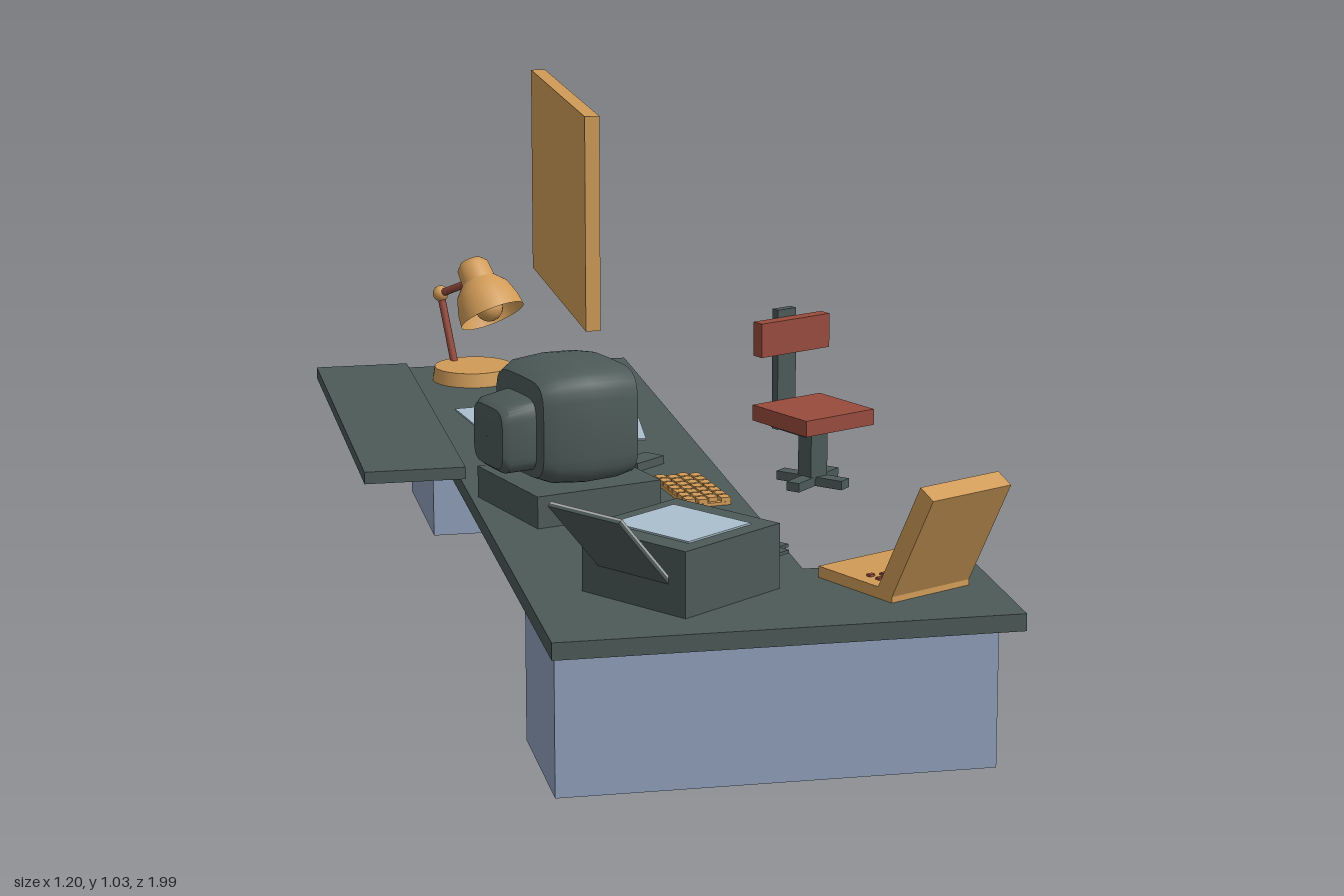
import * as THREE from 'three';
import { toCreasedNormals } from 'three/addons/utils/BufferGeometryUtils.js';

const mat = (name, color) => {
  const m = new THREE.MeshStandardMaterial({ color });
  m.name = name;
  return m;
};
const DEG = Math.PI / 180;

export function createModel() {
  const slate = mat('slate', 0x4c5a58), blue = mat('blue', 0x8f9fbb), wood = mat('wood', 0xd09b58);
  const red = mat('red', 0x984b3d), cork = mat('cork', 0xc8725a), paper = mat('paper', 0xa9c0cd);
  const gray = mat('gray', 0xb4b4b4), teal = mat('teal', 0x4a7272);
  wood.side = THREE.DoubleSide; // lampshade is an open shell
  const root = new THREE.Group();
  root.name = 'office desk';

  const group = (name, x, y, z, turn = 0) => {
    const g = new THREE.Group();
    g.name = name;
    g.position.set(x, y, z);
    g.rotation.y = turn * DEG;
    root.add(g);
    return g;
  };
  const add = (parent, name, geo, m, x = 0, y = 0, z = 0) => {
    const mesh = new THREE.Mesh(geo, m);
    mesh.name = name;
    mesh.position.set(x, y, z);
    parent.add(mesh);
    return mesh;
  };
  // box centred at x, y, z
  const box = (parent, name, m, w, h, d, x, y, z) =>
    add(parent, name, new THREE.BoxGeometry(w, h, d), m, x, y, z);
  // box given by its limits on each axis
  const span = (parent, name, m, x0, x1, y0, y1, z0, z1) =>
    box(parent, name, m, x1 - x0, y1 - y0, z1 - z0, (x0 + x1) / 2, (y0 + y1) / 2, (z0 + z1) / 2);
  // round rod between two points
  const rod = (parent, name, m, a, b, r) => {
    const d = b.clone().sub(a);
    const mesh = add(parent, name, new THREE.CylinderGeometry(r, r, d.length(), 8), m);
    mesh.position.copy(a).addScaledVector(d, 0.5);
    mesh.quaternion.setFromUnitVectors(new THREE.Vector3(0, 1, 0), d.normalize());
    return mesh;
  };
  // loft of rounded-square rings [x, halfDepth, halfHeight, centreY]
  const loft = (rings, n = 32) => {
    const pos = [], idx = [];
    const soft = (v) => Math.sign(v) * Math.abs(v) ** 0.42;
    rings.forEach(([x, hz, hy, cy], i) => {
      for (let j = 0; j < n; j++) {
        const a = (j / n) * Math.PI * 2, k = (j + 1) % n;
        pos.push(x, cy + hy * soft(Math.sin(a)), hz * soft(Math.cos(a)));
        if (i < rings.length - 1) {
          const p = i * n + j, q = i * n + k;
          idx.push(p, p + n, q, q, p + n, q + n);
        }
      }
    });
    const g = new THREE.BufferGeometry();
    g.setAttribute('position', new THREE.Float32BufferAttribute(pos, 3));
    g.setIndex(idx);
    return toCreasedNormals(g, 35 * DEG);
  };

  // L-shaped desk top
  const desk = group('desk', 0, 0, 0);
  const outline = new THREE.Shape([[-0.415, -0.99], [0.077, -0.99], [0.077, 0.665], [0.377, 0.665],
    [0.377, 0.993], [-0.415, 0.993]].map(([x, z]) => new THREE.Vector2(x, -z)));
  const top = add(desk, 'deskTop', new THREE.ExtrudeGeometry(outline, { depth: 0.03, bevelEnabled: false }), slate, 0, 0.246, 0);
  top.rotation.x = -Math.PI / 2;
  span(desk, 'sideShelf', slate, -0.605, -0.416, 0.297, 0.32, -0.84, 0.035);
  span(desk, 'frontCabinet', blue, -0.41, 0.332, 0.01, 0.247, 0.692, 0.985);
  span(desk, 'drawerCabinet', blue, -0.395, 0.06, 0.01, 0.247, -0.957, -0.6);
  for (const y of [0.082, 0.187]) {
    box(desk, 'drawer', teal, 0.014, 0.087, 0.275, 0.063, y, -0.783);
    box(desk, 'drawerHandle', teal, 0.022, 0.022, 0.055, 0.08, y + 0.016, -0.78);
  }

  // pinboard facing +x
  const board = group('pinboard', 0, 0, 0);
  span(board, 'boardBack', wood, -0.258, -0.243, 0.658, 1.035, -0.14, 0.435);
  span(board, 'corkSheet', cork, -0.243, -0.238, 0.68, 1.012, -0.117, 0.412);
  for (const [y0, y1] of [[0.658, 0.682], [1.011, 1.035]]) span(board, 'frameRail', wood, -0.245, -0.232, y0, y1, -0.14, 0.435);
  for (const [z0, z1] of [[-0.14, -0.115], [0.41, 0.435]]) span(board, 'frameStile', wood, -0.245, -0.232, 0.682, 1.011, z0, z1);
  [[0.343, 0.936, 0.09, 0.107, -6], [0.209, 0.845, 0.115, 0.137, 13], [-0.03, 0.904, 0.1, 0.137, -20],
    [0.054, 0.775, 0.107, 0.134, 2], [0.332, 0.757, 0.08, 0.086, -4]].forEach(([z, y, w, h, a], i) => {
    box(board, 'pinnedNote', paper, 0.003, h, w, -0.2365 + i * 0.0005, y, z).rotation.x = a * DEG;
  });

  // computer monitor on its base unit
  const computer = group('computer', -0.245, 0, 0.17, 17);
  box(computer, 'baseUnit', slate, 0.25, 0.06, 0.25, 0, 0.305, 0);
  add(computer, 'monitorShell', loft([[-0.165, 0.001, 0.001, 0.425], [-0.162, 0.06, 0.055, 0.425], [-0.15, 0.068, 0.064, 0.425],
    [-0.1, 0.072, 0.068, 0.43], [-0.098, 0.098, 0.09, 0.44], [-0.07, 0.113, 0.103, 0.442], [-0.01, 0.12, 0.108, 0.442],
    [0.05, 0.12, 0.106, 0.442], [0.085, 0.112, 0.1, 0.442], [0.085, 0.001, 0.001, 0.442]]), slate);
  add(computer, 'screen', loft([[0.083, 0.104, 0.092, 0.442], [0.086, 0.104, 0.092, 0.442], [0.091, 0.07, 0.06, 0.442],
    [0.093, 0.001, 0.001, 0.442]]), blue);

  // keyboard and mouse
  const keyboard = group('keyboard', -0.008, 0.276, 0.142, 7);
  box(keyboard, 'keyboardPlate', wood, 0.085, 0.006, 0.195, 0, 0.003, 0);
  for (let c = 0; c < 4; c++) for (let r = 0; r < 7; r++) {
    box(keyboard, 'key', wood, 0.018, 0.008, 0.023, -0.033 + c * 0.022, 0.01, -0.082 + r * 0.0272 + (c % 2 ? 0.004 : -0.004));
  }
  const mouse = group('mouse', -0.062, 0.276, -0.073, 40);
  box(mouse, 'mouseBody', slate, 0.08, 0.016, 0.045, 0, 0.008, 0);

  // loose sheets and stapler
  for (const [x, y, z, w, d, a] of [[-0.195, 0.278, -0.51, 0.285, 0.195, 8], [-0.148, 0.281, -0.353, 0.28, 0.165, -6]]) {
    box(group('looseSheet', x, y, z, a), 'sheet', paper, w, 0.003, d, 0, 0, 0);
  }
  const stapler = group('stapler', -0.18, 0.276, -0.67, 58);
  box(stapler, 'staplerBase', slate, 0.14, 0.012, 0.055, 0, 0.006, 0);
  box(stapler, 'staplerArm', slate, 0.135, 0.018, 0.05, 0, 0.033, 0).rotation.z = 9 * DEG;

  // desk lamp
  const lamp = group('lamp', 0, 0, 0);
  const v = (x, y, z) => new THREE.Vector3(x, y, z);
  const joint = v(-0.328, 0.445, -0.945), rim = v(-0.24, 0.425, -0.79);
  const axis = v(-0.29, 0.84, -0.46).normalize(); // from the rim towards the cap
  add(lamp, 'lampBase', new THREE.CylinderGeometry(0.082, 0.087, 0.03, 24), wood, -0.272, 0.29, -0.86);
  rod(lamp, 'lowerArm', red, v(-0.305, 0.3, -0.915), joint, 0.008);
  rod(lamp, 'upperArm', red, joint, rim.clone().addScaledVector(axis, 0.085), 0.008);
  add(lamp, 'elbow', new THREE.SphereGeometry(0.017, 12, 8), wood).position.copy(joint);
  const profile = [[0.07, 0], [0.067, 0.025], [0.056, 0.06], [0.038, 0.08], [0.036, 0.082], [0.034, 0.115], [0.022, 0.128], [0, 0.13]];
  const shade = add(lamp, 'lampShade', new THREE.LatheGeometry(profile.map(([x, y]) => new THREE.Vector2(x, y)), 24), wood);
  shade.position.copy(rim);
  shade.quaternion.setFromUnitVectors(v(0, 1, 0), axis);
  add(lamp, 'bulb', new THREE.SphereGeometry(0.03, 12, 8), wood).position.copy(rim).addScaledVector(axis, 0.02);

  // printer with a sloped paper feed
  const printer = group('printer', -0.153, 0.276, 0.745, 36);
  box(printer, 'printerBody', slate, 0.235, 0.114, 0.235, 0, 0.057, 0);
  box(printer, 'printerGlass', paper, 0.155, 0.004, 0.175, 0, 0.115, 0);
  box(printer, 'outputTray', slate, 0.09, 0.006, 0.13, 0.158, 0.036, 0);
  box(printer, 'outputTrayLip', slate, 0.03, 0.006, 0.08, 0.215, 0.036, 0);
  const feed = new THREE.Group();
  feed.name = 'paperFeed';
  feed.position.set(-0.17, 0.118, 0);
  feed.rotation.z = -47 * DEG;
  printer.add(feed);
  box(feed, 'feedTray', slate, 0.178, 0.006, 0.16, 0, -0.004, 0);
  box(feed, 'feedPaper', gray, 0.178, 0.004, 0.16, 0, 0.001, 0);
  [[wood, -0.022, 0.042], [paper, 0.022, 0.042], [red, -0.022, 0.068], [wood, 0.022, 0.068]].forEach(([m, x, y]) =>
    box(printer, 'controlButton', m, 0.035, 0.02, 0.006, x, y, -0.118));

  // folding machine with a raised lid, opening towards -z
  const laptop = group('laptop', 0.21, 0.276, 0.768, 26);
  box(laptop, 'laptopBase', wood, 0.172, 0.02, 0.19, 0, 0.01, 0);
  const lid = box(laptop, 'laptopLid', wood, 0.172, 0.225, 0.036, 0, 0.105, 0.125);
  lid.rotation.x = 28 * DEG;
  for (let i = 0; i < 12; i++) {
    box(laptop, 'laptopButton', red, 0.012, 0.006, 0.009, -0.055 + (i % 6) * 0.022, 0.021, 0.005 + Math.floor(i / 6) * 0.024 + (i % 2) * 0.008);
  }

  // swivel chair
  const chair = group('chair', 0.472, 0, -0.873, 25);
  box(chair, 'seat', red, 0.187, 0.035, 0.187, 0, 0.157, 0);
  box(chair, 'backrest', red, 0.187, 0.075, 0.03, 0, 0.322, -0.077);
  box(chair, 'backPost', slate, 0.05, 0.268, 0.02, 0, 0.242, -0.103);
  box(chair, 'seatBar', slate, 0.05, 0.03, 0.12, 0, 0.125, -0.055);
  box(chair, 'column', slate, 0.045, 0.125, 0.045, 0, 0.08, 0);
  for (const a of [20, 110]) box(chair, 'footBar', slate, 0.165, 0.02, 0.032, 0, 0.013, 0).rotation.y = a * DEG;

  return root;
}
